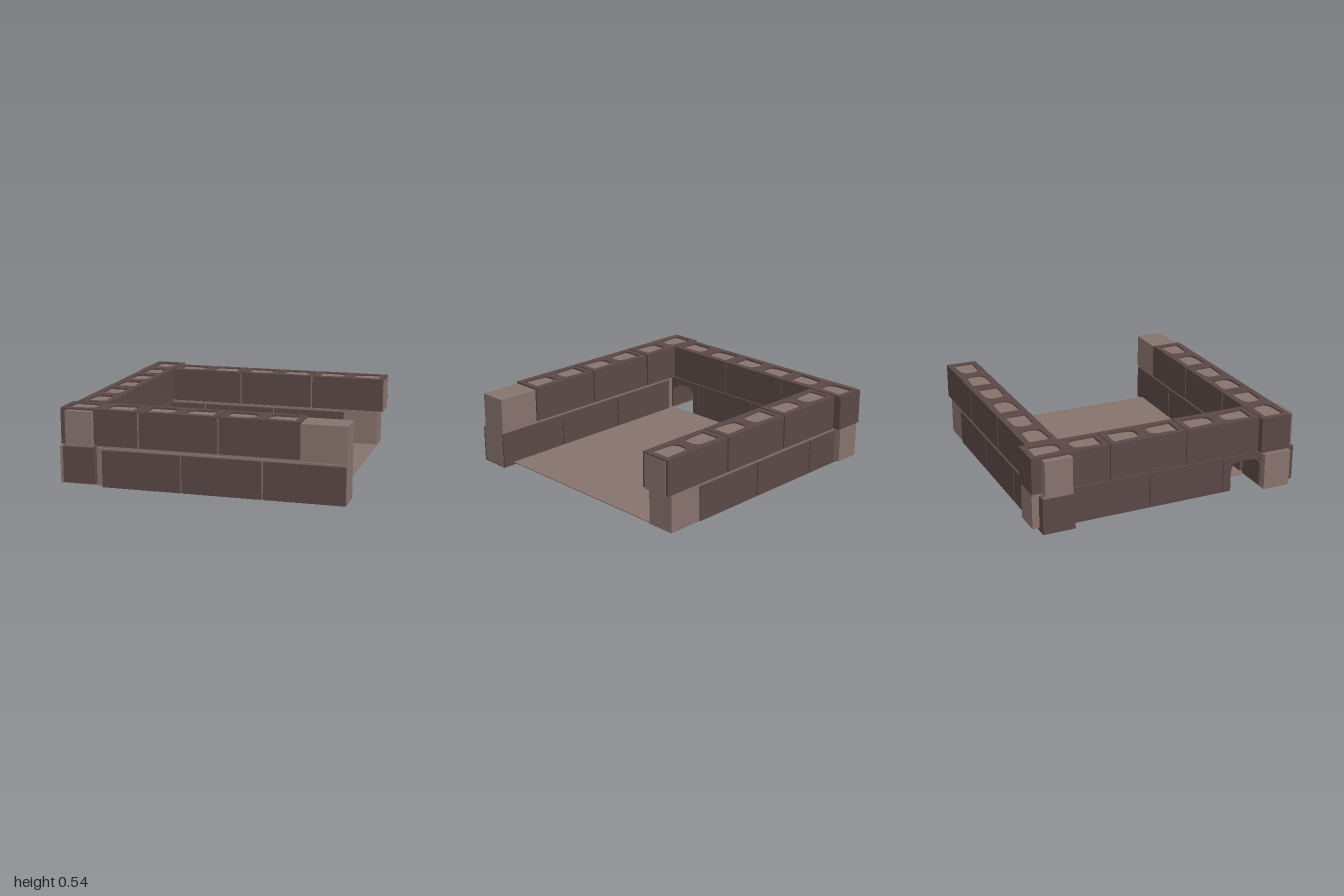
import * as THREE from 'three';

const blockMat = new THREE.MeshStandardMaterial({ color: 0x5a4846 });
blockMat.name = 'dark block';
const mortarMat = new THREE.MeshStandardMaterial({ color: 0x86726d });
mortarMat.name = 'light mortar';

const WIDTH = 0.226;

// Hollow block lying along x, with two cells open at top and bottom
function blockGeometry(length, height) {
  const l = length / 2, w = WIDTH / 2;
  const shape = new THREE.Shape([[-l, -w], [l, -w], [l, w], [-l, w]].map(p => new THREE.Vector2(...p)));
  for (const s of [-1, 1]) {
    const half = [[l - 0.04, 0.074], [l - 0.18, 0.068], [l - 0.215, 0.06], [l - 0.236, 0.035]];
    const cell = [...half, ...half.map(([x, z]) => [x, -z]).reverse()];
    shape.holes.push(new THREE.Path(cell.map(([x, z]) => new THREE.Vector2(s * x, z))));
  }
  return new THREE.ExtrudeGeometry(shape, { depth: height, bevelEnabled: false }).rotateX(-Math.PI / 2);
}

// Row of blocks given by start and end along the wall
function course(name, spans, axis, across, y0, y1) {
  const g = new THREE.Group();
  g.name = name;
  for (const [a, b] of spans) {
    const m = new THREE.Mesh(blockGeometry(b - a, y1 - y0), blockMat);
    m.name = 'hollowBlock';
    const mid = (a + b) / 2;
    if (axis === 'z') m.rotation.y = Math.PI / 2;
    m.position.set(axis === 'x' ? mid : across, y0, axis === 'x' ? across : mid);
    g.add(m);
  }
  return g;
}

function box(name, x0, x1, y0, y1, z0, z1) {
  const m = new THREE.Mesh(new THREE.BoxGeometry(x1 - x0, y1 - y0, z1 - z0), mortarMat);
  m.name = name;
  m.position.set((x0 + x1) / 2, (y0 + y1) / 2, (z0 + z1) / 2);
  return m;
}

// Slab along z with an arched notch in its lower edge
function archedSlab(name, mat, x0, x1, y0, y1, z0, z1, gap) {
  const a = 0.482 - gap, b = 0.708 + gap, top = 0.235 + gap, r = 0.075;
  const s = new THREE.Shape();
  s.moveTo(z0, y0);
  s.lineTo(a, y0);
  s.lineTo(a, top - r);
  s.quadraticCurveTo(a, top, a + r, top);
  s.lineTo(b - r, top);
  s.quadraticCurveTo(b, top, b, top - r);
  s.lineTo(b, y0);
  s.lineTo(z1, y0);
  s.lineTo(z1, y1);
  s.lineTo(z0, y1);
  const geo = new THREE.ExtrudeGeometry(s, { depth: x1 - x0, bevelEnabled: false, curveSegments: 8 });
  const m = new THREE.Mesh(geo.rotateY(-Math.PI / 2).translate(x1, 0, 0), mat);
  m.name = name;
  return m;
}

export function createModel() {
  const model = new THREE.Group();
  model.name = 'blockEnclosure';

  // Floor slab
  model.add(box('floor', -0.73, 0.912, 0.016, 0.022, -0.71, 0.73));

  // Front wall
  model.add(
    box('frontLowerCore', -0.99, 1, 0.008, 0.27, 0.725, 0.926),
    box('frontUpperCore', -0.97, 1, 0.27, 0.522, 0.712, 0.915),
    course('frontLowerCourse', [[-0.68, -0.125], [-0.115, 0.435], [0.447, 0.998]], 'x', 0.826, 0, 0.258),
    course('frontUpperCourse', [[-0.98, -0.43], [-0.417, 0.13], [0.142, 0.69]], 'x', 0.811, 0.284, 0.535)
  );

  // Back wall
  model.add(
    box('backLowerCore', -0.99, 0.912, 0.01, 0.28, -0.912, -0.708),
    box('backUpperCore', -1, 0.957, 0.28, 0.522, -0.905, -0.712),
    course('backLowerCourse', [[-0.998, -0.468], [-0.458, 0.092], [0.102, 0.655]], 'x', -0.81, 0.014, 0.262),
    course('backUpperCourse', [[-0.72, -0.175], [-0.162, 0.393], [0.405, 0.955]], 'x', -0.81, 0.284, 0.532)
  );

  // Side wall with the arched doorway at its front end
  model.add(
    archedSlab('sideCore', mortarMat, -0.931, -0.742, 0.035, 0.524, -0.972, 0.966, 0.004),
    archedSlab('archBlock', blockMat, -0.948, -0.722, 0.027, 0.28, 0.424, 0.975, 0),
    course('sideLowerCourse', [[-0.69, -0.139], [-0.133, 0.419]], 'z', -0.835, 0.027, 0.28),
    course('sideUpperCourse', [[-0.977, -0.428], [-0.421, 0.129], [0.136, 0.687]], 'z', -0.835, 0.287, 0.538)
  );
  return model;
}
